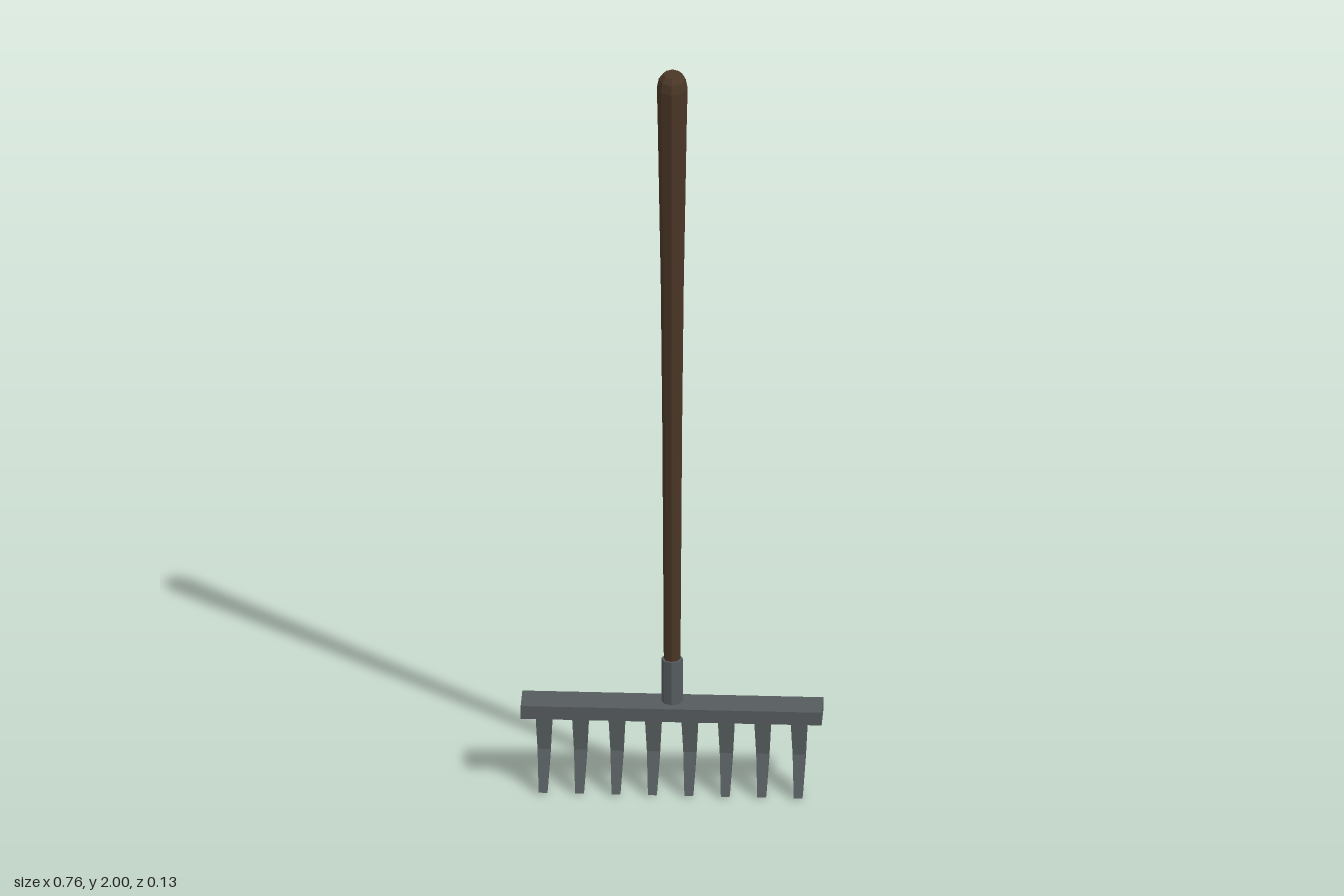
import * as THREE from 'three';

// Skin a closed tube over rings of points, listed from top to bottom.
// Each ring runs counter-clockwise when seen from above.
function loft(rings) {
  const n = rings[0].length;
  const pos = rings.flat(2);
  const index = [];
  for (let r = 0; r < rings.length - 1; r++) {
    for (let i = 0; i < n; i++) {
      const a = r * n + i, b = r * n + (i + 1) % n;
      index.push(a, a + n, b, b, a + n, b + n);
    }
  }
  const last = (rings.length - 1) * n;
  for (let i = 1; i < n - 1; i++) {
    index.push(0, i, i + 1, last, last + i + 1, last + i);
  }
  const geo = new THREE.BufferGeometry();
  geo.setAttribute('position', new THREE.Float32BufferAttribute(pos, 3));
  geo.setIndex(index);
  const flat = geo.toNonIndexed();
  flat.computeVertexNormals();
  return flat;
}

// Eight-sided ring; tilt raises the back edge.
function ring(y, radius, z, tilt = 0) {
  return Array.from({ length: 8 }, (_, i) => {
    const a = i * Math.PI / 4;
    const dz = -Math.sin(a) * radius;
    return [Math.cos(a) * radius, y - dz * tilt, z + dz];
  });
}

// Rectangular ring with separate heights for its front and back edges.
function slab(halfWidth, yFront, zFront, yBack, zBack) {
  return [
    [halfWidth, yFront, zFront], [halfWidth, yBack, zBack],
    [-halfWidth, yBack, zBack], [-halfWidth, yFront, zFront],
  ];
}

export function createModel() {
  const group = new THREE.Group();
  const wood = new THREE.MeshStandardMaterial({ color: 0x4a3626, flatShading: true });
  wood.name = 'dark wood';
  const metal = new THREE.MeshStandardMaterial({ color: 0x565c5e, flatShading: true });
  metal.name = 'grey iron';

  const add = (name, geo, mat, x = 0, y = 0, z = 0) => {
    const mesh = new THREE.Mesh(geo, mat);
    mesh.name = name;
    mesh.position.set(x, y, z);
    group.add(mesh);
  };

  // Slightly bent handle, thicker towards its rounded end
  add('handle', loft([
    ring(1.997, 0.022, -0.029, 0.12),
    ring(1.985, 0.034, -0.028, 0.12),
    ring(1.96, 0.039, -0.027, 0.1),
    ring(1.88, 0.037, -0.026),
    ring(1.4, 0.029, -0.027),
    ring(1.0, 0.025, -0.024),
    ring(0.34, 0.021, -0.02),
  ]), wood);

  // Socket and crossbar
  add('socket', new THREE.CylinderGeometry(0.027, 0.027, 0.125, 8), metal, 0, 0.288, -0.02);
  add('crossbar', new THREE.BoxGeometry(0.76, 0.036, 0.087), metal, 0, 0.213, -0.0135);

  // Tapered tines, bent forward halfway down
  const tine = loft([
    slab(0.021, 0.2, 0.019, 0.2, -0.041),
    slab(0.016, 0.105, 0.017, 0.085, -0.02),
    slab(0.011, 0.004, 0.063, 0, 0.035),
  ]);
  for (let i = 0; i < 8; i++) {
    add('tine' + (i + 1), tine, metal, (i - 3.5) * 0.092);
  }

  return group;
}
